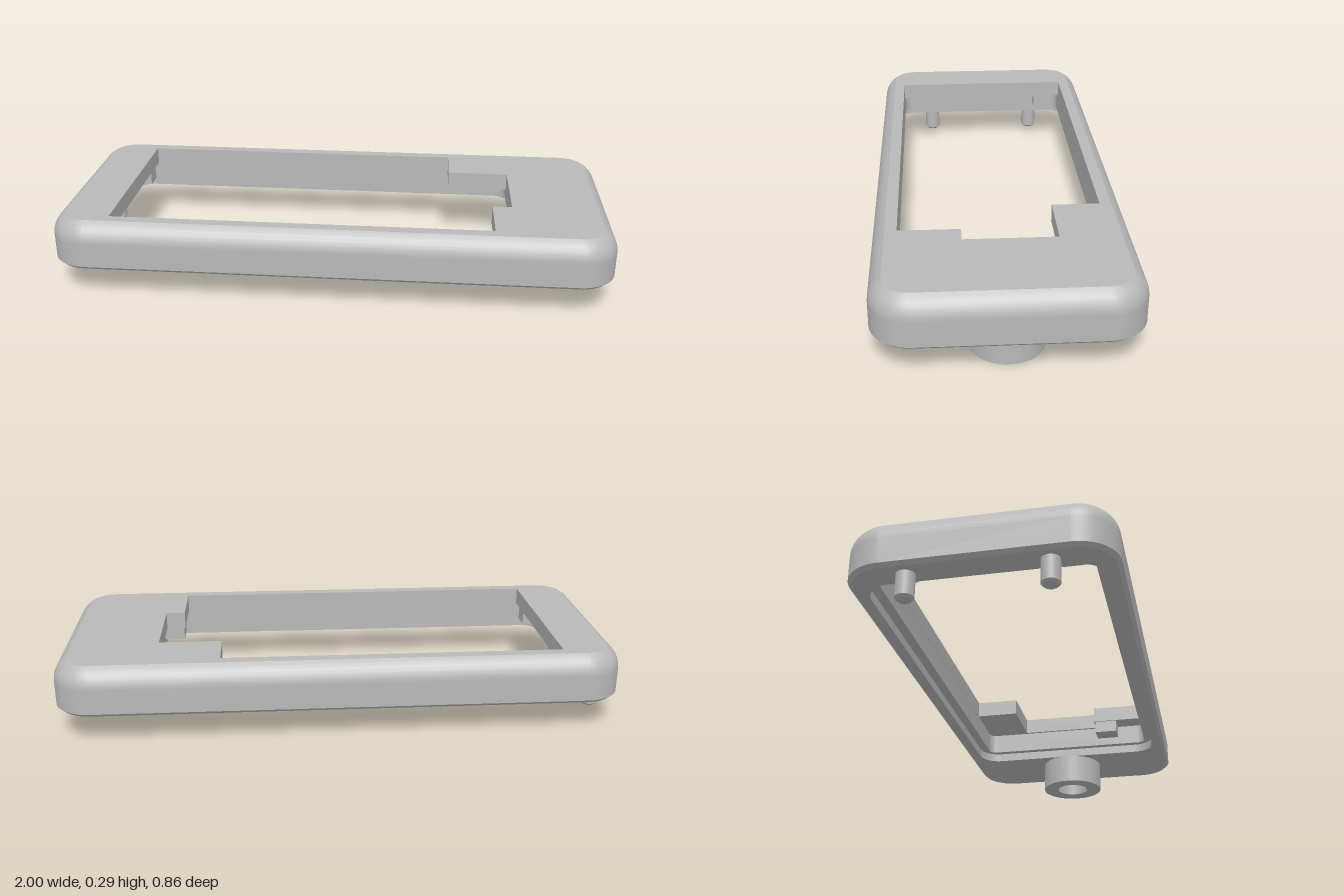
import * as THREE from 'three';

const HX = 1, HZ = 0.43, R = 0.135;

// Rounded rectangle in plan; shape y runs towards -z
function roundedRect(x0, x1, y0, y1, r) {
  const s = new THREE.Shape();
  s.absarc(x1 - r, y0 + r, r, -Math.PI / 2, 0);
  s.absarc(x1 - r, y1 - r, r, 0, Math.PI / 2);
  s.absarc(x0 + r, y1 - r, r, Math.PI / 2, Math.PI);
  s.absarc(x0 + r, y0 + r, r, Math.PI, Math.PI * 1.5);
  s.closePath();
  return s;
}
const outline = (d) => roundedRect(-HX + d, HX - d, -HZ + d, HZ - d, R - d);

// Flat layer with one opening, between heights y0 and y1
function layer(inset, hole, y0, y1) {
  const s = outline(inset);
  s.holes.push(hole);
  const g = new THREE.ExtrudeGeometry(s, { depth: y1 - y0, bevelEnabled: false, curveSegments: 12 });
  return g.rotateX(-Math.PI / 2).translate(0, y0, 0);
}

// Skin through outlines given as [inset, height], bottom to top
function skin(profile) {
  const pos = [], idx = [];
  let n = 0;
  for (const [d, y] of profile) {
    const pts = outline(d).getPoints(12);
    if (pts[0].distanceTo(pts[pts.length - 1]) < 1e-5) pts.pop();
    n = pts.length;
    for (const p of pts) pos.push(p.x, y, -p.y);
  }
  for (let i = 0; i < profile.length - 1; i++) {
    for (let j = 0; j < n; j++) {
      const k = (j + 1) % n, a = i * n + j, b = i * n + k;
      idx.push(a, b, b + n, a, b + n, a + n);
    }
  }
  const g = new THREE.BufferGeometry();
  g.setAttribute('position', new THREE.Float32BufferAttribute(pos, 3));
  g.setIndex(idx);
  g.computeVertexNormals();
  return g;
}

export function createModel() {
  const group = new THREE.Group();
  const grey = new THREE.MeshStandardMaterial({ color: 0xb8b8b8 });
  grey.name = 'plain grey';
  const add = (name, geo, x = 0, y = 0, z = 0) => {
    const m = new THREE.Mesh(geo, grey);
    m.name = name;
    m.position.set(x, y, z);
    group.add(m);
  };

  // Outer wall: bottom chamfer, upright side, rounded shoulder
  add('bottomChamfer', skin([[0.013, 0.115], [0, 0.127]]));
  const shoulder = [[0, 0.127], [0, 0.215]];
  for (let i = 1; i <= 6; i++) {
    const a = (i / 6) * 0.98;
    shoulder.push([0.1 * (1 - Math.cos(a)) * 0.045 / 0.0443, 0.215 + 0.075 * Math.sin(a) / Math.sin(0.98)]);
  }
  add('outerWall', skin(shoulder));

  // Top plate with stepped window
  const window_ = new THREE.Path([
    [-0.785, -0.345], [0.575, -0.345], [0.575, -0.135], [0.645, -0.135],
    [0.645, 0.18], [0.42, 0.18], [0.42, 0.345], [-0.785, 0.345],
  ].map(([x, y]) => new THREE.Vector2(x, y)));
  window_.closePath();
  add('topPlate', layer(0.045, window_, 0.228, 0.29));

  // Stepped recess seen from below
  add('innerFrame', layer(0.02, roundedRect(-0.86, 0.655, -0.346, 0.346, 0.03), 0.148, 0.228));
  add('bottomRim', layer(0.013, roundedRect(-0.89, 0.68, -0.38, 0.38, 0.08), 0.115, 0.148));

  // Small clips under the plate
  for (const z of [-0.27, 0.27]) {
    add('clip', new THREE.BoxGeometry(0.05, 0.055, 0.07), -0.815, 0.202, z);
  }
  add('cornerBlock', new THREE.BoxGeometry(0.08, 0.05, 0.09), 0.62, 0.205, 0.185);

  // Hollow boss with a blind bore
  const V = (x, y) => new THREE.Vector2(x, y);
  const ring = (pts) => new THREE.LatheGeometry(pts, 48);
  add('bossOuter', ring([V(0.125, 0), V(0.125, 0.118)]), 0.8);
  add('bossEnd', ring([V(0.065, 0), V(0.125, 0)]), 0.8);
  add('bossBore', ring([V(0.065, 0.114), V(0.065, 0)]), 0.8);

  // Locating pegs with chamfered tips
  for (const z of [-0.225, 0.225]) {
    add('peg', new THREE.CylinderGeometry(0.031, 0.031, 0.085, 24), -0.935, 0.0755, z);
    add('pegTip', new THREE.CylinderGeometry(0.031, 0.023, 0.008, 24), -0.935, 0.029, z);
  }
  return group;
}
